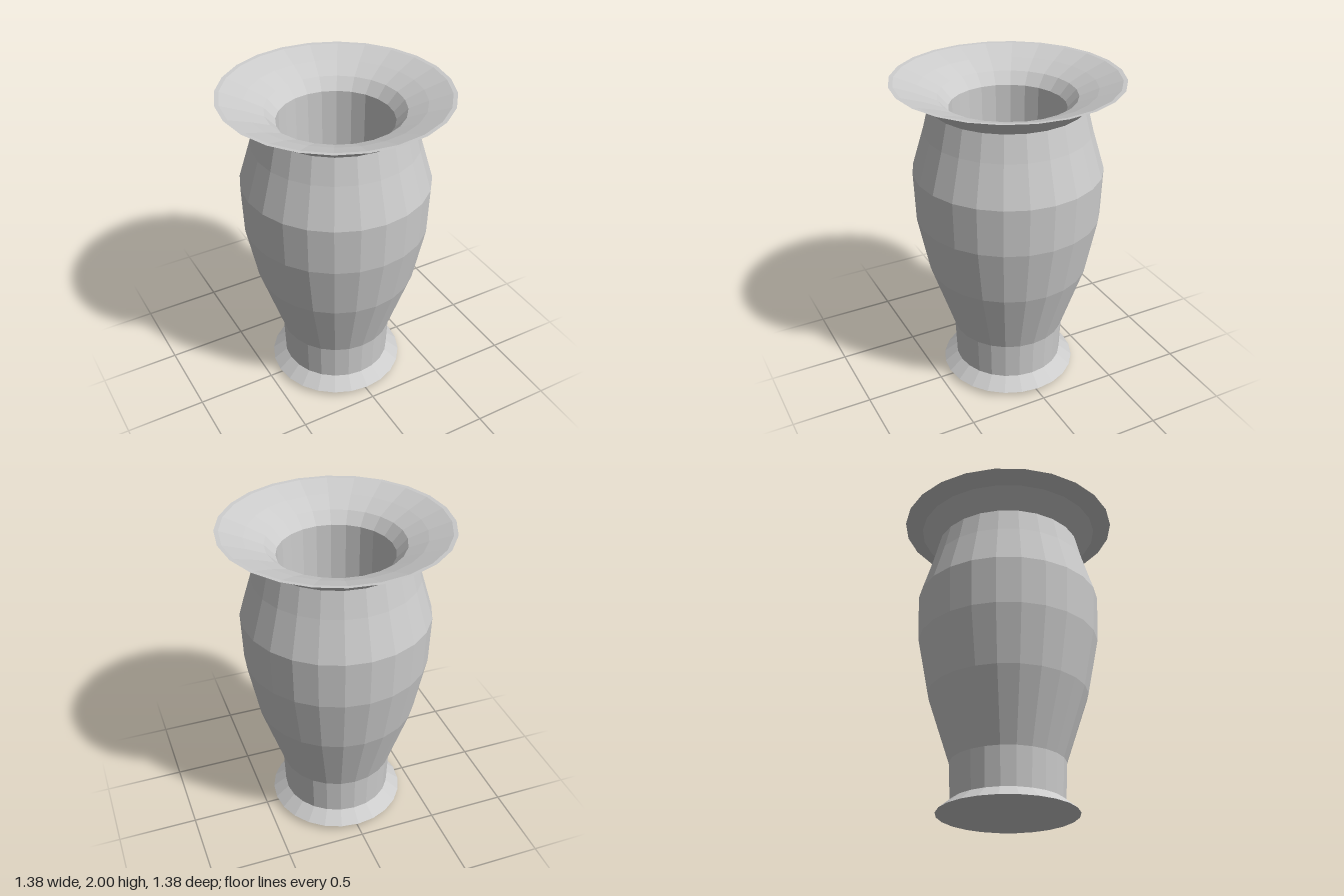
import * as THREE from 'three';

const SIDES = 24;

// Closed profile [radius, height]: underside, outer wall, flared lip, inner wall, floor
const PROFILE = [
  [0, 0], [0.3, 0.008], [0.43, 0.03],
  [0.345, 0.1], [0.355, 0.34], [0.5, 0.78], [0.57, 1.14], [0.58, 1.44],
  [0.505, 1.69], [0.465, 1.85],
  [0.575, 1.96], [0.69, 2.0], [0.665, 1.998], [0.53, 1.95],
  [0.415, 1.9], [0.35, 1.83], [0.34, 1.2], [0.27, 0.4],
  [0.2, 0.12], [0, 0.1],
];
const STAR_RING = PROFILE.length - 2;

export function createModel() {
  const group = new THREE.Group();
  group.name = 'vase';

  const lathe = new THREE.LatheGeometry(
    PROFILE.map(([r, y]) => new THREE.Vector2(r, y)), SIDES);

  // Pull in every second point of the floor ring for the pleated star inside
  const pos = lathe.attributes.position;
  for (let i = 1; i < SIDES; i += 2) {
    const k = i * PROFILE.length + STAR_RING;
    pos.setXYZ(k, pos.getX(k) * 0.8, 0.06, pos.getZ(k) * 0.8);
  }

  // Faceted shading
  const geometry = lathe.toNonIndexed();
  geometry.computeVertexNormals();
  const body = new THREE.Mesh(geometry, new THREE.MeshStandardMaterial({
    color: 0xcccccc, flatShading: true, side: THREE.DoubleSide,
  }));
  body.name = 'vaseBody';
  group.add(body);
  return group;
}
